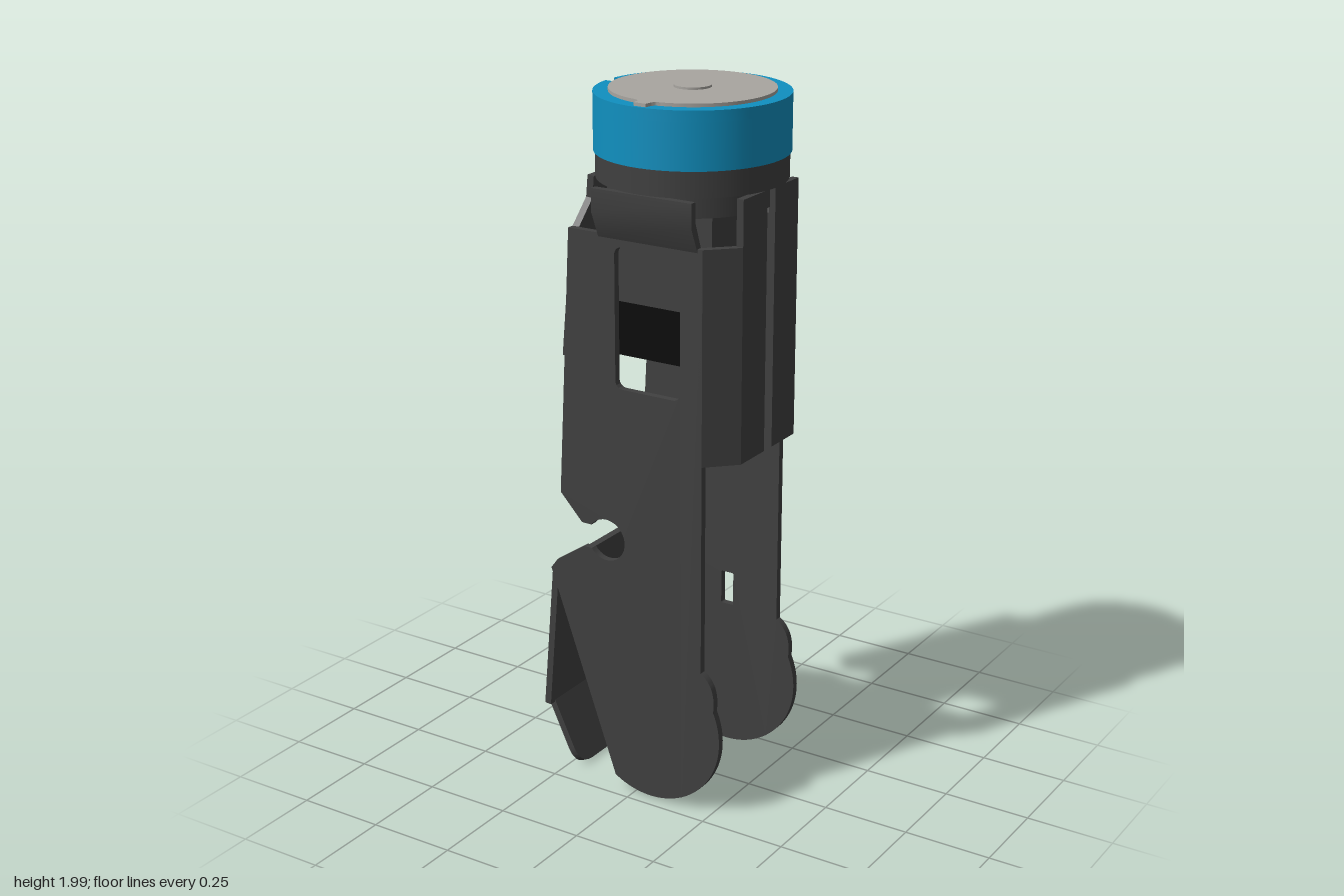
import * as THREE from 'three';
import { toCreasedNormals } from 'three/addons/utils/BufferGeometryUtils.js';

const mat = (color) => new THREE.MeshStandardMaterial({ color });
const dark = mat(0x404040), black = mat(0x0a0a0a), blue = mat(0x1090c0), grey = mat(0xa8a5a0);
const T = 0.02; // sheet thickness
const CX = 0.055; // axis of the round cap

const poly = (pts) => new THREE.Shape(pts.map(([x, y]) => new THREE.Vector2(x, y)));

function roundRect(target, x0, y0, x1, y1, r) {
  target.absarc(x1 - r, y0 + r, r, -Math.PI / 2, 0, false);
  target.absarc(x1 - r, y1 - r, r, 0, Math.PI / 2, false);
  target.absarc(x0 + r, y1 - r, r, Math.PI / 2, Math.PI, false);
  target.absarc(x0 + r, y0 + r, r, Math.PI, Math.PI * 1.5, false);
  target.closePath();
  return target;
}

const extrude = (shape, depth, curveSegments = 16) =>
  toCreasedNormals(new THREE.ExtrudeGeometry(shape, { depth, bevelEnabled: false, curveSegments }), 0.5);

// Extrudes a floor-plan shape upward; shape y becomes -z
const upright = (shape, y0, y1, seg) => extrude(shape, y1 - y0, seg).rotateX(-Math.PI / 2).translate(0, y0, 0);

// Sheet whose shape (z, distance) rises along a line in the side profile
function sheet(shape, [ax, ay], [bx, by]) {
  const dir = new THREE.Vector3(bx - ax, by - ay, 0).normalize();
  const across = new THREE.Vector3(0, 0, 1);
  const out = new THREE.Vector3().crossVectors(across, dir);
  const m = new THREE.Matrix4().makeBasis(across, dir, out);
  m.setPosition(ax - out.x * T, ay - out.y * T, 0);
  return extrude(shape, T).applyMatrix4(m);
}

// Side plate with round foot, keyhole notch and window
function sidePlateShape(withSlot) {
  const s = new THREE.Shape();
  s.moveTo(-0.31, 0.2);
  s.absarc(0.055, 0.24, 0.225, 4.166, Math.PI * 2 + 0.42, false);
  s.quadraticCurveTo(0.27, 0.41, 0.22, 0.44);
  s.lineTo(0.22, 1.63);
  s.lineTo(-0.195, 1.63);
  s.lineTo(-0.235, 0.875);
  s.lineTo(-0.165, 0.8);
  s.absarc(-0.085, 0.765, 0.06, 2.52, -2.52, true);
  s.lineTo(-0.16, 0.73);
  s.lineTo(-0.25, 0.67);
  s.lineTo(-0.272, 0.64);
  s.closePath();
  s.holes.push(roundRect(new THREE.Path(), -0.05, 1.21, 0.153, 1.6, 0.022));
  if (withSlot) s.holes.push(roundRect(new THREE.Path(), 0.035, 0.45, 0.075, 0.55, 0.004));
  return s;
}

export function createModel() {
  const model = new THREE.Group();
  const add = (name, geometry, material = dark) => {
    const mesh = new THREE.Mesh(geometry, material);
    mesh.name = name;
    model.add(mesh);
    return mesh;
  };

  // Side plates
  add('frontPlate', extrude(sidePlateShape(false), T).translate(0, 0, 0.195));
  add('backPlate', extrude(sidePlateShape(true), T).translate(0, 0, -0.215));

  // Lower end panel and its inward-bent tongue
  add('lowerPanel', sheet(poly([[-0.2, 0], [0.2, 0], [0.2, 0.44], [-0.2, 0.44]]), [-0.315, 0.2], [-0.277, 0.64]));
  const tongue = new THREE.Shape();
  tongue.moveTo(0.18, 0);
  tongue.lineTo(0.18, 0.15);
  tongue.quadraticCurveTo(0.18, 0.21, 0.12, 0.21);
  tongue.lineTo(-0.12, 0.21);
  tongue.quadraticCurveTo(-0.18, 0.21, -0.18, 0.15);
  tongue.lineTo(-0.18, 0);
  tongue.closePath();
  const tongueGeo = sheet(tongue, [-0.314, 0.2], [-0.224, 0.01]);
  // sheet faces inward when it runs downward, so shift it to the inner side
  tongueGeo.translate(0.018, 0.008, 0);
  add('tongue', tongueGeo);

  // Upper end panel with slot and narrowed top
  const upper = poly([[-0.205, 0], [0.205, 0], [0.205, 0.35], [0.14, 0.43], [0.14, 0.49],
    [-0.14, 0.49], [-0.14, 0.43], [-0.205, 0.35]]);
  upper.holes.push(roundRect(new THREE.Path(), -0.11, 0.24, 0.11, 0.32, 0.02));
  add('upperPanel', sheet(upper, [-0.227, 1.27], [-0.183, 1.755]));

  for (const side of [1, -1]) {
    const label = side > 0 ? 'front' : 'back';

    // Corner flange folded around the open edge
    const plan = [[0.21, 0.215], [0.22, 0.215], [0.295, 0.14], [0.295, 0.02], [0.275, 0.02], [0.275, 0.13], [0.21, 0.195]];
    add(label + 'Flange', upright(poly(plan.map(([x, z]) => [x, -z * side])), 1.04, 1.63));
    add(label + 'FlangeTop', new THREE.BoxGeometry(T, 0.125, 0.12).translate(0.285, 1.6925, 0.08 * side));

    // Cranked tab that grips the neck
    const tab = poly([[0.195, 1.62], [0.215, 1.62], [0.245, 1.69], [0.245, 1.755], [0.225, 1.755], [0.225, 1.7]]
      .map(([z, y]) => [-z * side, y]));
    add(label + 'Tab', extrude(tab, 0.305).rotateY(Math.PI / 2).translate(-0.1, 0, 0));
  }

  // Inner block, dark at its lower end
  add('innerBlock', new THREE.BoxGeometry(0.32, 0.28, 0.24).translate(0.03, 1.56, 0));
  add('innerBlockEnd', new THREE.BoxGeometry(0.32, 0.15, 0.24).translate(0.03, 1.345, 0), black);

  // Neck, collar and cap body
  const drum = (name, r, y0, y1, material) =>
    add(name, new THREE.CylinderGeometry(r, r, y1 - y0, 64).translate(CX, (y0 + y1) / 2, 0), material);
  drum('neck', 0.225, 1.7, 1.76, dark);
  drum('collar', 0.255, 1.76, 1.83, dark);
  drum('capBody', 0.26, 1.83, 1.955, blue);

  // Cap rim with a notch
  const rim = new THREE.Shape();
  rim.absarc(0, 0, 0.26, -Math.PI + 0.08, Math.PI - 0.08, false);
  rim.absarc(0, 0, 0.219, Math.PI - 0.095, -Math.PI + 0.095, true);
  rim.closePath();
  add('capRim', upright(rim, 1.955, 1.985, 64).translate(CX, 0, 0), blue);

  // Keyed cover disc and centre button
  const disc = new THREE.Shape();
  disc.absarc(0, 0, 0.22, -Math.PI / 2 + 0.2, Math.PI * 1.5 - 0.2, false);
  disc.quadraticCurveTo(-0.02, -0.218, -0.02, -0.235);
  disc.lineTo(-0.018, -0.25);
  disc.lineTo(0.018, -0.25);
  disc.lineTo(0.02, -0.235);
  disc.quadraticCurveTo(0.02, -0.218, 0.044, -0.2156);
  add('coverDisc', upright(disc, 1.95, 1.994, 64).translate(CX, 0, 0), grey);
  drum('button', 0.05, 1.99, 2, grey);

  return model;
}
